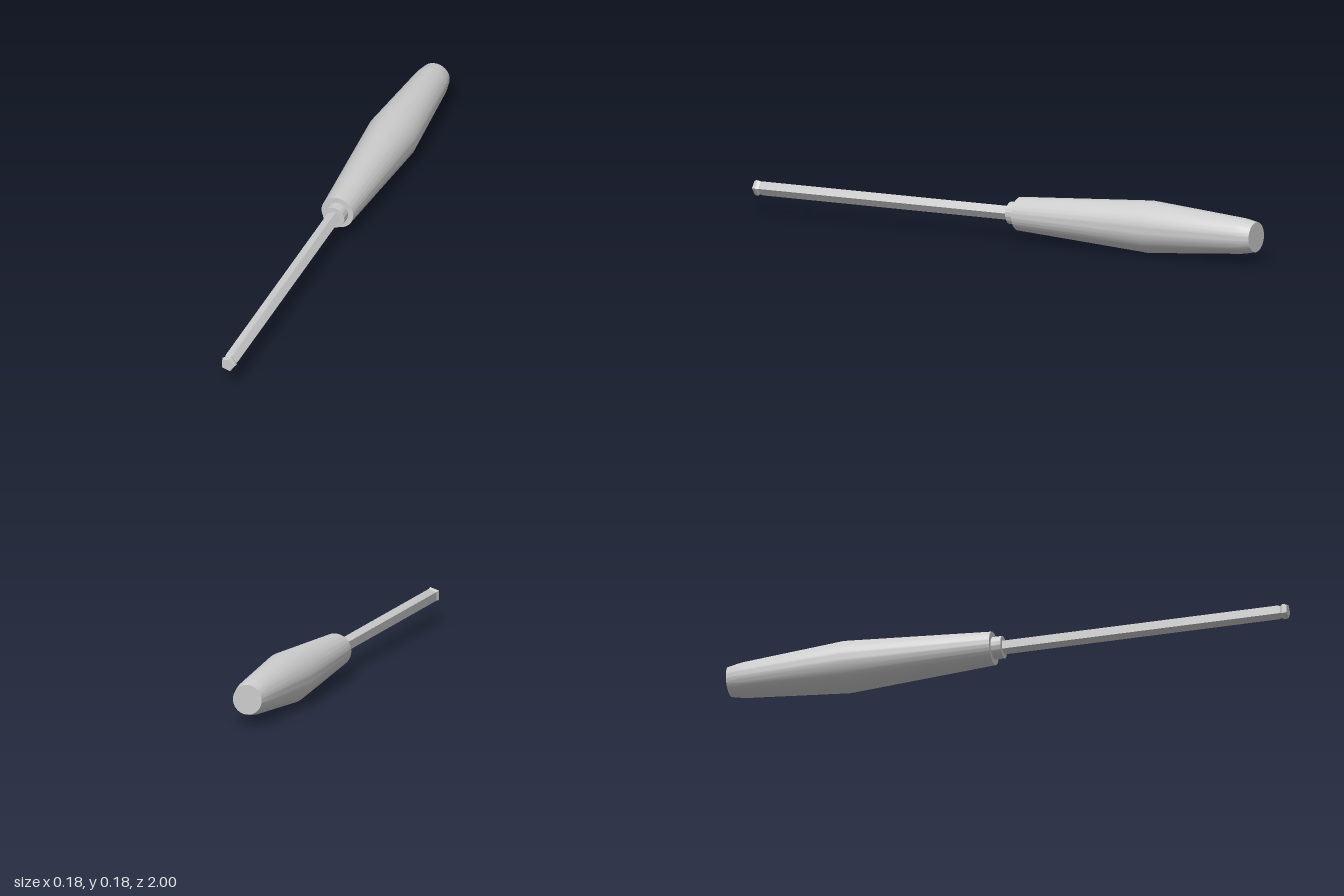
import * as THREE from 'three';
import { toCreasedNormals } from 'three/addons/utils/BufferGeometryUtils.js';

const AXIS_HEIGHT = 0.091;

// Turns a profile of [radius, z] pairs around the long (z) axis.
// A low side count gives a prism with its first corner on +x.
function turned(name, profile, sides) {
  const points = profile.map(([r, z]) => new THREE.Vector2(r, z));
  const lathe = new THREE.LatheGeometry(points, sides, Math.PI / 2);
  lathe.rotateX(Math.PI / 2);
  const geometry = toCreasedNormals(lathe, Math.PI / 7);
  const mesh = new THREE.Mesh(geometry, new THREE.MeshStandardMaterial({ color: 0xcccccc }));
  mesh.name = name;
  mesh.position.y = AXIS_HEIGHT;
  return mesh;
}

export function createModel() {
  const model = new THREE.Group();
  model.name = 'screwdriver';

  // Swelling grip with a softened flat butt
  model.add(turned('handle', [
    [0, -1], [0.052, -1], [0.055, -0.985], [0.059, -0.965], [0.062, -0.945],
    [0.0905, -0.58], [0.058, -0.055], [0, -0.055],
  ], 64));

  // Round collar where the shaft enters the handle
  model.add(turned('collar', [
    [0, -0.06], [0.039, -0.06], [0.039, -0.02], [0, -0.02],
  ], 48));

  // Five-sided shaft
  model.add(turned('shaft', [
    [0, -0.03], [0.0255, -0.03], [0.0255, 0.968], [0.022, 0.977], [0, 0.977],
  ], 5));

  // Flared five-sided tip with a bevelled front
  model.add(turned('tip', [
    [0, 0.976], [0.022, 0.976], [0.028, 0.985], [0.028, 0.992], [0.0245, 1], [0, 1],
  ], 5));

  return model;
}
